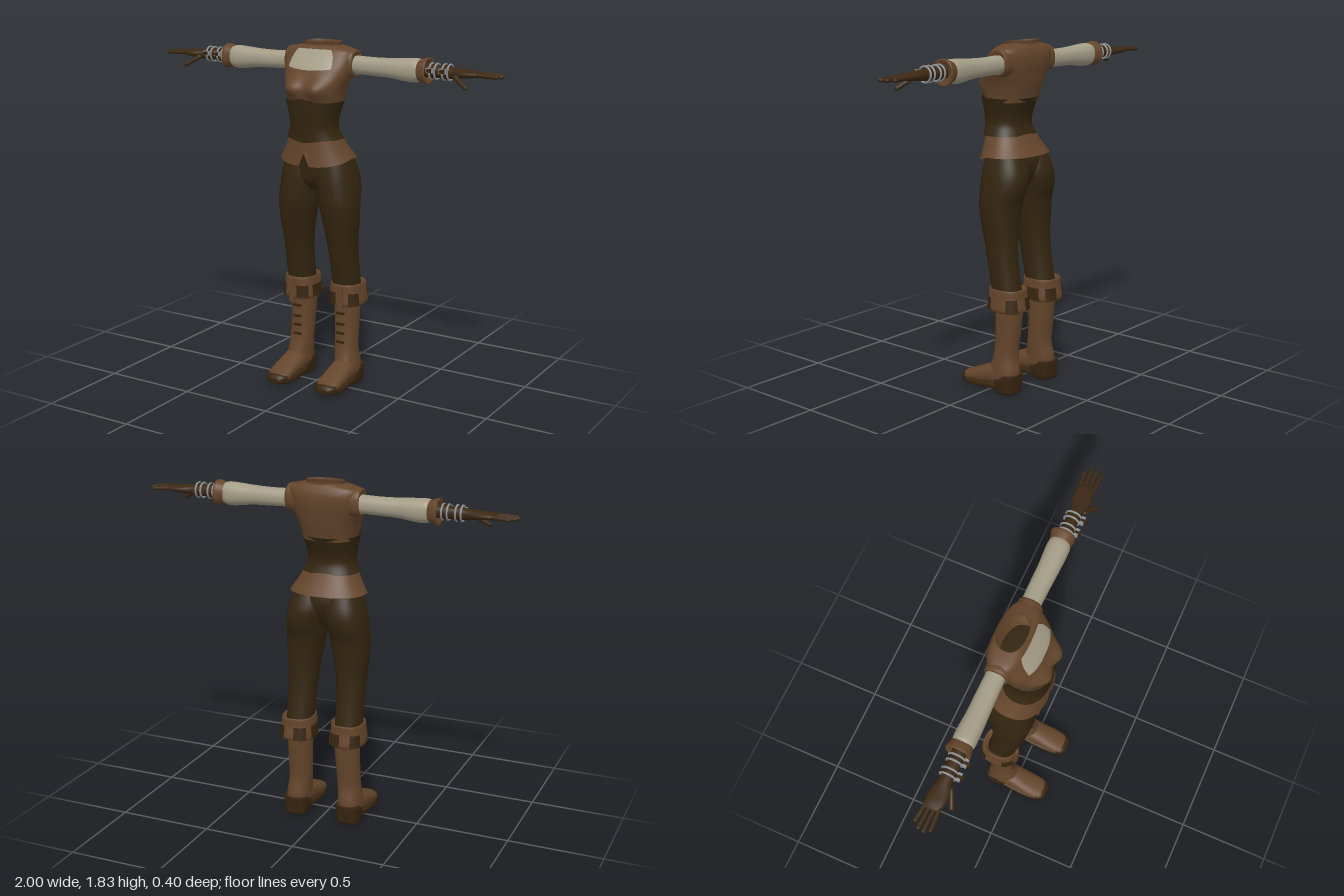
import * as THREE from 'three';

const mat = (name, color) => Object.assign(
  new THREE.MeshStandardMaterial({ color, side: THREE.DoubleSide }), { name });

const BUMP_X = 0.072;

// Catmull-Rom sample of a list of cross-section keys at u in 0..1
function sample(keys, u) {
  const last = keys.length - 1, f = Math.min(u * last, last - 1e-6), i = Math.floor(f), t = f - i;
  const k = (j) => keys[Math.max(0, Math.min(last, j))];
  return keys[0].map((_, c) => {
    const a = k(i - 1)[c], b = k(i)[c], d = k(i + 1)[c], e = k(i + 2)[c];
    const m0 = (d - a) / 2, m1 = (e - b) / 2, t2 = t * t, t3 = t2 * t;
    return (2 * t3 - 3 * t2 + 1) * b + (t3 - 2 * t2 + t) * m0 + (3 * t2 - 2 * t3) * d + (t3 - t2) * m1;
  });
}

const AXES = {
  y: (u, v, t) => new THREE.Vector3(u, t, v),
  z: (u, v, t) => new THREE.Vector3(u, v, t),
  x: (u, v, t) => new THREE.Vector3(t, u, v),
};

// Rounded cross-sections [t, uMin, uMax, vMin, vMax] swept along an axis
function loft(keys, { axis = 'y', n = 2.3, seg = 32, steps = 20, arc = null, cap = false, deform = null } = {}) {
  const pos = [], idx = [], cols = arc ? seg + 1 : seg;
  const flip = (keys[keys.length - 1][0] < keys[0][0]) !== (axis === 'y');
  const tri = (a, b, c) => (flip ? idx.push(a, c, b) : idx.push(a, b, c));
  const put = (p) => { if (deform) deform(p); pos.push(p.x, p.y, p.z); };
  const pw = (c) => Math.sign(c) * Math.abs(c) ** (2 / n);
  const [a0, a1] = arc || [0, Math.PI * 2];
  for (let i = 0; i <= steps; i++) {
    const [t, u0, u1, v0, v1] = sample(keys, i / steps);
    for (let j = 0; j < cols; j++) {
      const a = a0 + (a1 - a0) * j / seg;
      put(AXES[axis]((u0 + u1) / 2 + (u1 - u0) / 2 * pw(Math.cos(a)),
        (v0 + v1) / 2 + (v1 - v0) / 2 * pw(Math.sin(a)), t));
    }
  }
  for (let i = 0; i < steps; i++) for (let j = 0; j < seg; j++) {
    const k = (j + 1) % cols, a = i * cols + j, b = i * cols + k;
    tri(a, b, b + cols); tri(a, b + cols, a + cols);
  }
  if (cap) [0, steps].forEach((row) => {
    const [t, u0, u1, v0, v1] = sample(keys, row / steps), c = pos.length / 3;
    put(AXES[axis]((u0 + u1) / 2, (v0 + v1) / 2, t));
    for (let j = 0; j < seg; j++) {
      const a = row * cols + j, b = row * cols + (j + 1) % cols;
      row ? tri(c, a, b) : tri(c, b, a);
    }
  });
  return build(pos, idx);
}

function build(pos, idx) {
  const g = new THREE.BufferGeometry();
  g.setAttribute('position', new THREE.Float32BufferAttribute(pos, 3));
  g.setIndex(idx);
  g.computeVertexNormals();
  return g;
}

export function createModel() {
  const model = new THREE.Group();
  const brown = mat('brown leather', 0x64452b), dark = mat('dark cloth', 0x33250f);
  const cream = mat('cream linen', 0xa39c86), sole = mat('dark sole leather', 0x36240f);
  const silver = mat('silver metal', 0x8c8e90), glove = mat('glove leather', 0x3b2813);
  const add = (parent, name, geo, m) => {
    const mesh = new THREE.Mesh(geo, m);
    mesh.name = name;
    parent.add(mesh);
    return mesh;
  };

  // Vest, with the bust pushed out of the front
  const vest = [
    [1.52, -0.138, 0.138, -0.115, 0.115], [1.56, -0.145, 0.145, -0.125, 0.122], [1.61, -0.158, 0.158, -0.138, 0.122],
    [1.66, -0.178, 0.178, -0.148, 0.104], [1.71, -0.19, 0.19, -0.158, 0.08], [1.76, -0.193, 0.193, -0.158, 0.045],
    [1.795, -0.18, 0.18, -0.145, 0.02], [1.815, -0.1, 0.1, -0.132, 0.002]];
  const bust = (p) => {
    if (p.z < 0) return;
    const d = (Math.abs(p.x) - BUMP_X) / 0.06, e = (p.y - 1.605) / 0.05;
    p.z += 0.04 * Math.exp(-d * d - e * e) * Math.min(1, p.z / 0.06);
  };
  add(model, 'vest', loft(vest, { n: 2.6, seg: 64, steps: 36, deform: bust }), brown);
  add(model, 'collar', loft([[1.8, -0.108, 0.108, -0.138, 0.012], [1.818, -0.1, 0.1, -0.134, 0.003],
    [1.832, -0.102, 0.102, -0.136, 0.004]], { steps: 8, deform: (p) => { p.y -= 0.08 * (p.z + 0.1) * (p.z > -0.1); } }), brown);
  add(model, 'innerLining', loft([[1.66, -0.12, 0.12, -0.12, 0.05], [1.67, -0.12, 0.12, -0.12, 0.05]],
    { steps: 1, cap: true }), dark);

  // Linen panel following the chest surface
  const pos = [], idx = [], rows = 14, cols = 20;
  for (let i = 0; i <= rows; i++) for (let j = 0; j <= cols; j++) {
    const s = j / cols * 2 - 1, v = i / rows;
    const low = 0.525 + 0.03 * s * s;
    const [y, x0, x1, z0, z1] = sample(vest, low + (0.855 - low) * v);
    const x = s * (0.125 - 0.03 * v * v);
    const p = new THREE.Vector3(x, y, (z0 + z1) / 2 + (z1 - z0) / 2 * (1 - Math.abs(x / x1) ** 2.6) ** (1 / 2.6));
    bust(p);
    pos.push(p.x, p.y + 0.003, p.z + 0.004);
    if (i < rows && j < cols) {
      const a = i * (cols + 1) + j, b = a + cols + 1;
      idx.push(a, a + 1, b + 1, a, b + 1, b);
    }
  }
  add(model, 'chestPanel', build(pos, idx), cream);

  // Corset with pointed front edges
  add(model, 'corset', loft([[1.345, -0.15, 0.15, -0.102, 0.128], [1.4, -0.127, 0.127, -0.083, 0.13],
    [1.46, -0.13, 0.13, -0.092, 0.138], [1.54, -0.15, 0.15, -0.124, 0.147]], {
    seg: 64, deform: (p) => {
      const t = (p.y - 1.44) / 0.1;
      if (p.z > 0) p.y += 0.018 * t * Math.abs(t) * Math.max(0, 1 - Math.abs(p.x) / 0.1);
    } }), dark);

  // Flared skirt of the vest, notched at the front
  add(model, 'peplum', loft([[1.365, -0.132, 0.132, -0.092, 0.12], [1.3, -0.168, 0.168, -0.128, 0.124],
    [1.245, -0.204, 0.204, -0.166, 0.13]], {
    seg: 120, deform: (p) => {
      const t = (1.365 - p.y) / 0.12;
      if (p.z <= 0) return;
      p.y += t * (-0.038 * Math.min(1, p.z / 0.13) + 0.07 * t * Math.max(0, 1 - Math.abs(p.x) / 0.03));
    } }), brown);

  // Trousers
  add(model, 'hips', loft([[1.36, -0.125, 0.125, -0.085, 0.1], [1.28, -0.155, 0.155, -0.12, 0.09],
    [1.2, -0.183, 0.183, -0.14, 0.08], [1.12, -0.13, 0.13, -0.12, 0.07], [1.07, -0.05, 0.05, -0.09, 0.03]], { cap: true }), dark);

  const cuffKeys = [[0.55, 0.075, 0.205, -0.16, -0.012], [0.565, 0.058, 0.224, -0.183, 0.004],
    [0.52, 0.053, 0.23, -0.187, 0.007], [0.455, 0.048, 0.236, -0.197, 0.009], [0.44, 0.07, 0.205, -0.17, -0.015]];
  const grow = (k, d) => [k[0], k[1] - d, k[2] + d, k[3] - d, k[4] + d];

  for (const side of [1, -1]) {
    const label = side > 0 ? 'left' : 'right';
    const leg = new THREE.Group();
    leg.name = label + 'Leg';
    add(leg, 'trouserLeg', loft([[1.25, 0.01, 0.178, -0.13, 0.07], [1.16, 0, 0.205, -0.163, 0.084],
      [1.08, 0.012, 0.218, -0.162, 0.088], [1.0, 0.022, 0.225, -0.137, 0.087], [0.9, 0.04, 0.222, -0.128, 0.07],
      [0.8, 0.056, 0.212, -0.125, 0.05], [0.68, 0.066, 0.21, -0.135, 0.025], [0.54, 0.068, 0.21, -0.158, -0.003]],
    { steps: 32, cap: true }), dark);

    // Boot
    add(leg, 'bootShaft', loft([[0.52, 0.07, 0.2, -0.16, -0.01], [0.44, 0.07, 0.2, -0.165, -0.02],
      [0.3, 0.076, 0.2, -0.15, -0.02], [0.2, 0.08, 0.202, -0.14, -0.012], [0.12, 0.086, 0.212, -0.156, 0.008],
      [0.07, 0.088, 0.214, -0.154, 0.01]], { cap: true }), brown);
    add(leg, 'bootFoot', loft([[-0.14, 0.1, 0.2, 0.03, 0.1], [-0.06, 0.088, 0.213, 0.03, 0.15], [0, 0.086, 0.215, 0.025, 0.138],
      [0.05, 0.086, 0.217, 0.02, 0.118], [0.1, 0.086, 0.218, 0.02, 0.096], [0.15, 0.09, 0.214, 0.015, 0.075],
      [0.18, 0.103, 0.2, 0.015, 0.062], [0.192, 0.125, 0.18, 0.022, 0.045]], { axis: 'z', cap: true }), brown);
    add(leg, 'bootSole', loft([[-0.06, 0.09, 0.212, 0.012, 0.045], [0, 0.085, 0.217, 0.01, 0.042], [0.08, 0.083, 0.221, 0.004, 0.038],
      [0.14, 0.086, 0.217, 0.006, 0.042], [0.18, 0.1, 0.203, 0.013, 0.048], [0.198, 0.122, 0.182, 0.02, 0.045]],
    { axis: 'z', n: 4, cap: true }), sole);
    add(leg, 'toeCap', loft([[0.155, 0.088, 0.217, 0.015, 0.069], [0.183, 0.1, 0.204, 0.016, 0.062],
      [0.197, 0.123, 0.182, 0.022, 0.046]], { axis: 'z', steps: 8, cap: true }), sole);
    add(leg, 'bootHeel', loft([[0, 0.092, 0.212, -0.157, -0.045], [0.06, 0.086, 0.216, -0.161, -0.035],
      [0.1, 0.09, 0.214, -0.162, -0.1]], { n: 3.5, steps: 8, cap: true }), sole);

    // Folded cuff with dark patches, front strap and lacing
    add(leg, 'bootCuff', loft(cuffKeys, { n: 2.6 }), brown);
    for (const a of [0.35, 1.7, 2.75, 3.9, 5.1])
      add(leg, 'cuffPatch', loft(cuffKeys.slice(2, 4).map((k) => grow(k, 0.003)),
        { n: 2.6, seg: 8, steps: 4, arc: [a, a + 0.75] }), sole);
    add(leg, 'cuffStrap', new THREE.BoxGeometry(0.03, 0.13, 0.012), brown).position.set(0.15, 0.49, 0.01);
    for (const y of [0.24, 0.29, 0.34, 0.4])
      add(leg, 'bootLace', new THREE.BoxGeometry(0.045, 0.012, 0.014), sole).position.set(0.135, y, -0.018);

    // Arm
    const arm = new THREE.Group();
    arm.name = label + 'Arm';
    add(arm, 'armhole', loft([[0.13, 1.65, 1.797, -0.132, 0.008], [0.18, 1.655, 1.8, -0.128, 0.004],
      [0.2, 1.664, 1.792, -0.122, -0.006], [0.195, 1.678, 1.765, -0.11, -0.02]], { axis: 'x', steps: 12 }), brown);
    add(arm, 'sleeve', loft([[0.17, 1.676, 1.768, -0.115, -0.02], [0.3, 1.672, 1.765, -0.118, -0.018],
      [0.4, 1.668, 1.768, -0.118, -0.014], [0.5, 1.656, 1.775, -0.124, -0.012], [0.55, 1.66, 1.774, -0.122, -0.014],
      [0.58, 1.685, 1.755, -0.11, -0.03]], { axis: 'x', cap: true }), cream);
    add(arm, 'sleeveCuff', loft([[0.55, 1.672, 1.768, -0.12, -0.018], [0.565, 1.662, 1.774, -0.125, -0.014],
      [0.603, 1.652, 1.782, -0.134, -0.01], [0.592, 1.685, 1.75, -0.105, -0.03]], { axis: 'x', steps: 12, cap: true }), brown);
    add(arm, 'glove', loft([[0.57, 1.688, 1.752, -0.102, -0.032], [0.66, 1.688, 1.75, -0.1, -0.032], [0.74, 1.69, 1.744, -0.098, -0.034],
      [0.8, 1.697, 1.738, -0.112, -0.018], [0.85, 1.702, 1.736, -0.115, -0.02], [0.89, 1.709, 1.73, -0.108, -0.03]],
    { axis: 'x', cap: true }), glove);
    const finger = (name, from, to, r) => {
      const a = new THREE.Vector3(...from), b = new THREE.Vector3(...to), d = b.clone().sub(a);
      const g = new THREE.CapsuleGeometry(r, d.length() - r, 6, 12);
      const mesh = add(arm, name, g, glove);
      mesh.position.copy(a.add(b).multiplyScalar(0.5));
      mesh.quaternion.setFromUnitVectors(new THREE.Vector3(0, 1, 0), d.normalize());
    };
    [[-0.1, -0.114, 0.965], [-0.08, -0.086, 0.99], [-0.058, -0.058, 0.996], [-0.036, -0.03, 0.98]].forEach(
      ([z0, z1, x]) => finger('finger', [0.86, 1.72, z0], [x, 1.716, z1], 0.01));
    finger('thumb', [0.76, 1.705, -0.03], [0.838, 1.658, 0.006], 0.012);

    // Wrist straps with metal bands and buckles
    for (const x of [0.635, 0.705]) {
      const strap = add(arm, 'wristStrap', new THREE.CylinderGeometry(0.037, 0.037, 0.026, 20), sole);
      strap.rotation.z = Math.PI / 2;
      strap.position.set(x, 1.719, -0.067);
      for (const dx of [-0.014, 0.014]) {
        const band = add(arm, 'wristBand', new THREE.TorusGeometry(0.038, 0.0055, 8, 24), silver);
        band.rotation.y = Math.PI / 2;
        band.position.set(x + dx, 1.719, -0.067);
        add(arm, 'buckle', new THREE.BoxGeometry(0.012, 0.022, 0.02), silver).position.set(x + dx, 1.728, -0.016);
      }
      add(arm, 'buckleTab', new THREE.BoxGeometry(0.022, 0.016, 0.03), sole).position.set(x, 1.728, -0.01);
    }

    for (const limb of [leg, arm]) {
      limb.scale.x = side;
      model.add(limb);
    }
  }
  return model;
}
